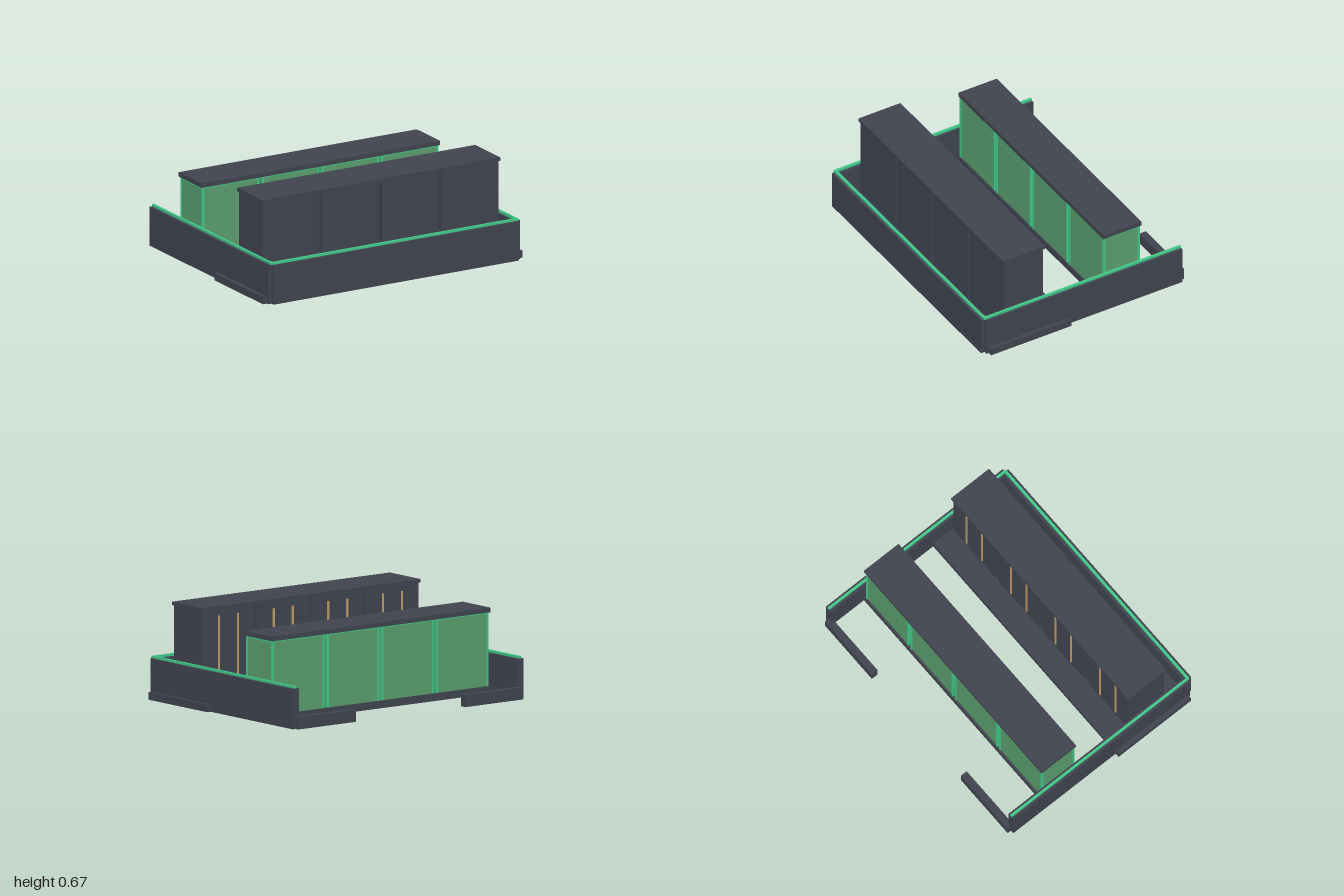
import * as THREE from 'three';

export function createModel() {
  const root = new THREE.Group();
  root.name = 'serviceCounter';

  const mat = (name, color) => {
    const m = new THREE.MeshStandardMaterial({ color });
    m.name = name;
    return m;
  };
  const slate = mat('slate', 0x41454f);
  const glass = mat('greenGlass', 0x5ba06f);
  const trim = mat('greenTrim', 0x42cc8c);
  const brass = mat('brass', 0xc2a066);

  // Box given by its min and max on each axis
  const box = (parent, name, material, [x0, x1], [y0, y1], [z0, z1]) => {
    const mesh = new THREE.Mesh(new THREE.BoxGeometry(x1 - x0, y1 - y0, z1 - z0), material);
    mesh.position.set((x0 + x1) / 2, (y0 + y1) / 2, (z0 + z1) / 2);
    mesh.name = name;
    parent.add(mesh);
    return mesh;
  };
  const around = (c, w) => [c - w / 2, c + w / 2];

  // Floor slab under the cabinets and the low front wall
  box(root, 'floorSlab', slate, [-1, 1], [0, 0.05], [0.12, 0.74]);
  box(root, 'frontWall', slate, [-0.945, 0.945], [0, 0.27], [0.73, 0.785]);
  box(root, 'frontLightStrip', trim, [-0.953, 0.953], [0.27, 0.286], [0.75, 0.767]);

  // Side walls, light strips and rear rails, mirrored
  for (const s of [-1, 1]) {
    const side = s < 0 ? 'right' : 'left';
    box(root, side + 'Wall', slate, around(s * 0.945, 0.05), [0, 0.27], [-0.757, 0.757]);
    box(root, side + 'LightStrip', trim, around(s * 0.945, 0.016), [0.27, 0.286], [-0.757, 0.75]);
    box(root, side + 'RearRail', slate, around(s * 0.703, 0.485), [0, 0.08], [-0.785, -0.735]);
  }

  // Boards that join the modules of each row
  box(root, 'cabinetTop', slate, [-0.918, 0.918], [0.645, 0.667], [0.272, 0.597]);
  box(root, 'displayTop', slate, [-0.918, 0.918], [0.545, 0.576], [-0.473, -0.178]);
  box(root, 'displayBase', slate, [-0.918, 0.918], [0, 0.05], [-0.473, -0.178]);

  const width = 0.438;
  for (const cx of [-0.69, -0.23, 0.23, 0.69]) {
    // Tall cabinet with two upright handles on its back
    const cabinet = new THREE.Group();
    cabinet.name = 'tallCabinet';
    root.add(cabinet);
    box(cabinet, 'cabinetBody', slate, around(cx, width), [0.05, 0.645], [0.285, 0.584]);
    for (const s of [-1, 1])
      box(cabinet, 'handle', brass, around(cx + s * 0.08, 0.014), [0.1, 0.6], [0.279, 0.286]);

    // Glass display case in a slim frame
    const display = new THREE.Group();
    display.name = 'displayCase';
    root.add(display);
    box(display, 'glassBody', glass, around(cx, width - 0.006), [0.05, 0.545], [-0.459, -0.187]);
    for (const s of [-1, 1]) {
      const ex = cx + s * (width / 2 - 0.006);
      for (const z of [-0.456, -0.19])
        box(display, 'framePost', trim, around(ex, 0.014), [0.05, 0.545], around(z, 0.016));
      box(display, 'frameSideRail', trim, around(ex, 0.012), [0.533, 0.545], [-0.46, -0.186]);
    }
    for (const z of [-0.457, -0.189])
      box(display, 'frameRail', trim, around(cx, width), [0.537, 0.545], around(z, 0.012));
  }
  return root;
}
